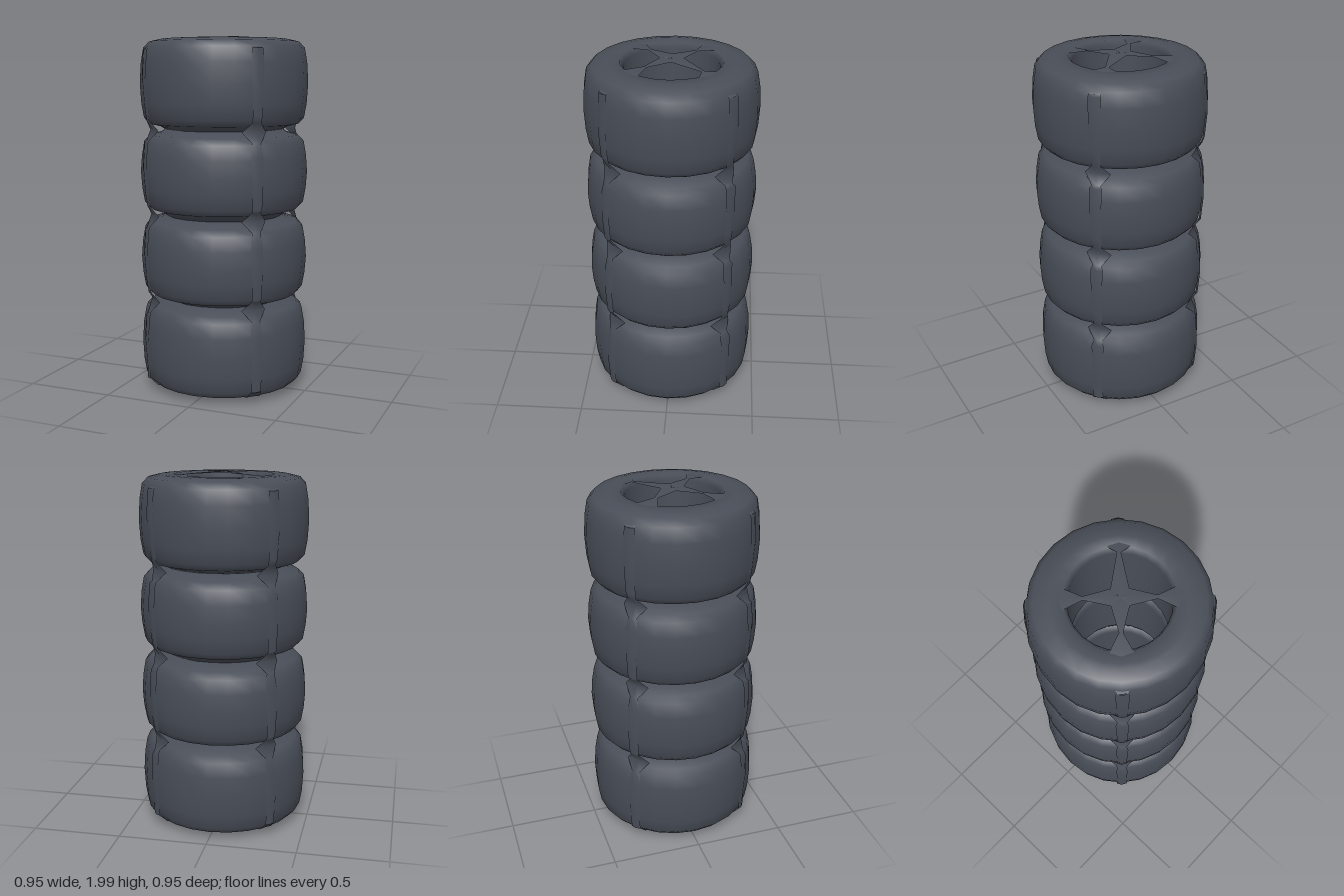
import * as THREE from 'three';

const rubber = new THREE.MeshStandardMaterial({ color: 0x484d57 });
rubber.name = 'dark rubber';
const strapRubber = rubber.clone();
strapRubber.name = 'dark strap';
strapRubber.side = THREE.DoubleSide;

// One tyre: closed rounded section spun round y; shoulders touch the neighbours inside the groove
function makeTyre(bottom, top, seatBottom, seatTop) {
  const section = [
    [0.255, bottom + 0.03], [0.275, seatBottom], [0.335, seatBottom], [0.36, bottom + 0.002],
    [0.42, bottom + 0.016], [0.452, bottom + 0.05], [0.466, bottom + 0.13], [0.473, (bottom + top) / 2],
    [0.466, top - 0.13], [0.452, top - 0.05], [0.42, top - 0.016], [0.36, top - 0.002],
    [0.335, seatTop], [0.275, seatTop], [0.255, top - 0.03], [0.255, bottom + 0.03],
  ].map(([r, y]) => new THREE.Vector2(r, y));
  return new THREE.Mesh(new THREE.LatheGeometry(section, 24), rubber);
}

// Ribbon along a path of [radius, y, half width], lying in the plane at the given angle, with a raised middle
function makeStrap(path, angle, ridge) {
  const positions = [], index = [];
  const c = Math.cos(angle), s = Math.sin(angle);
  path.forEach(([r, y, w], i) => {
    const a = path[Math.max(i - 1, 0)], b = path[Math.min(i + 1, path.length - 1)];
    const dr = b[0] - a[0], dy = b[1] - a[1], len = Math.hypot(dr, dy);
    for (const side of [-1, 0, 1]) {
      const lift = side === 0 ? ridge : 0;
      const rr = r - (dy / len) * lift, yy = y + (dr / len) * lift;
      positions.push(rr * c - side * w * s, yy, rr * s + side * w * c);
    }
    if (i > 0) {
      for (let k = 0; k < 2; k++) {
        const p = (i - 1) * 3 + k, q = p + 3;
        index.push(p, p + 1, q, p + 1, q + 1, q);
      }
    }
  });
  const g = new THREE.BufferGeometry();
  g.setAttribute('position', new THREE.Float32BufferAttribute(positions, 3));
  g.setIndex(index);
  g.computeVertexNormals();
  return new THREE.Mesh(g, strapRubber);
}

export function createModel() {
  const group = new THREE.Group();

  // Four stacked tyres
  const levels = [
    [0.025, 0.51, 0.025, 0.525], [0.54, 0.985, 0.525, 1.0],
    [1.025, 1.47, 1.0, 1.485], [1.5, 1.985, 1.485, 1.985],
  ];
  levels.forEach((level, i) => {
    const tyre = makeTyre(...level);
    tyre.name = 'tyre' + (i + 1);
    group.add(tyre);
  });

  // Four lashing straps on the diagonals, crossing over the top and bottom holes
  for (let n = 0; n < 4; n++) {
    const angle = Math.PI / 4 + n * Math.PI / 2;
    const pinch = n === 3 ? 0.24 : 0.18;

    const cross = [[0, 0.002, 0.001], [0.045, 0.002, 0.045], [pinch, 0.006, 0.01],
      [0.27, 0.012, 0.055], [0.36, 0.022, 0.045], [0.42, 0.036, 0.04], [0.46, 0.075, 0.03]];
    const topArm = makeStrap(cross.map(([r, y, w]) => [r, 1.998 - y, w]), angle, 0.002);
    topArm.name = 'topStrap' + (n + 1);
    const bottomArm = makeStrap(cross.map(([r, y, w]) => [r, y + 0.002, w]).reverse(), angle, -0.002);
    bottomArm.name = 'bottomStrap' + (n + 1);

    // Outer run: pulled in and flared at each groove, narrow over each tread
    const run = [[0.46, 1.925, 0.03]];
    levels.slice().reverse().forEach(([lo, hi], i) => {
      const mid = (lo + hi) / 2 + (n % 2 ? 0.03 : -0.03);
      run.push([0.464, mid + 0.14, 0.035], [0.473, mid, 0.03], [0.463, mid - 0.14, 0.028]);
      if (i < 3) run.push([0.452, lo + 0.04, 0.025], [0.415, lo - 0.015, 0.07], [0.452, lo - 0.07, 0.025]);
    });
    run.push([0.46, 0.077, 0.03]);
    const outer = makeStrap(run, angle, 0.007);
    outer.name = 'outerStrap' + (n + 1);

    group.add(topArm, bottomArm, outer);
  }
  return group;
}
